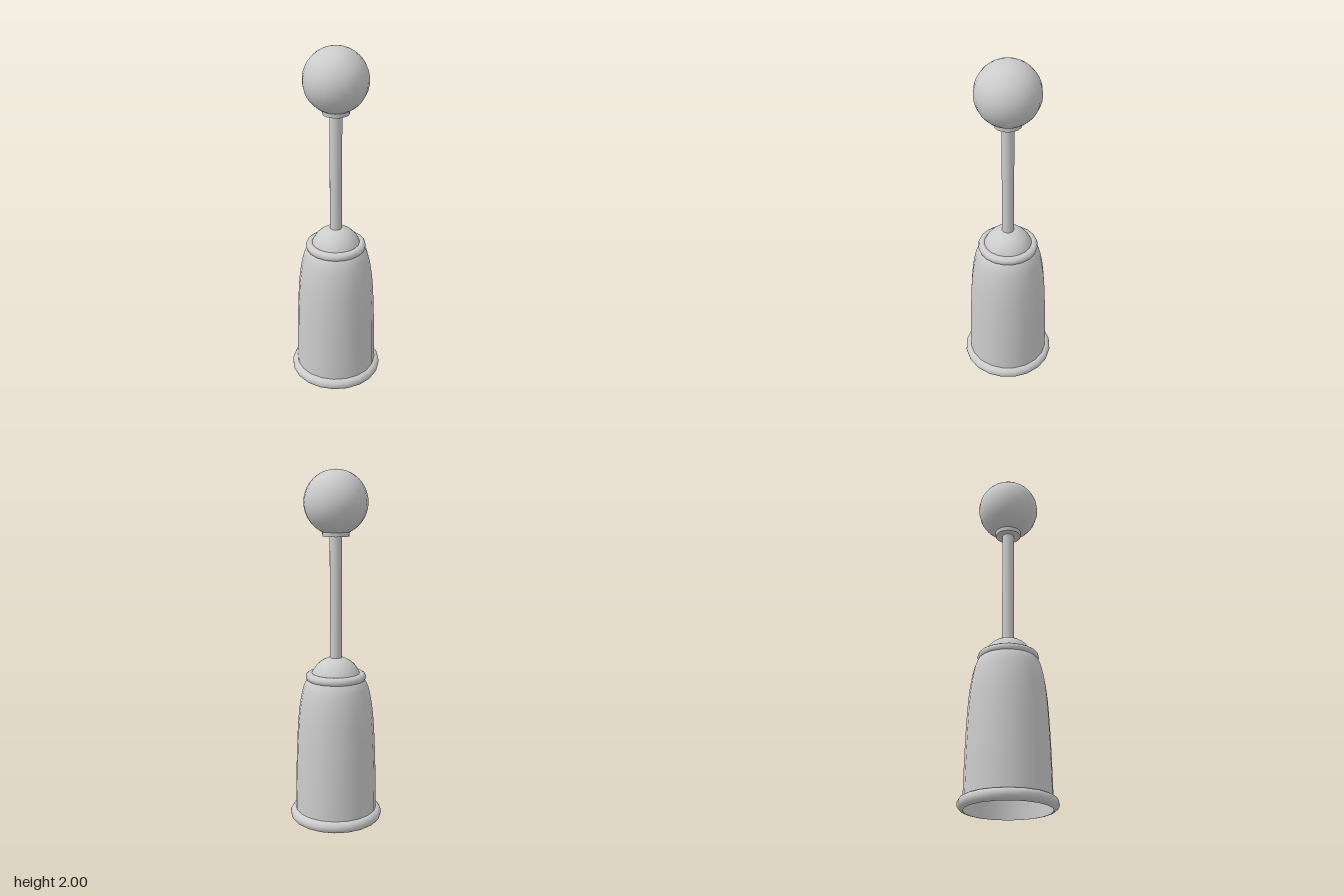
import * as THREE from 'three';

const SIDES = 20;
const material = new THREE.MeshStandardMaterial({ color: 0xcccccc, side: THREE.DoubleSide });

function add(group, name, geometry, y = 0) {
  const mesh = new THREE.Mesh(geometry, material);
  mesh.name = name;
  mesh.position.y = y;
  group.add(mesh);
  return mesh;
}

// Turned part from [radius, height] pairs, listed bottom to top
function turned(points) {
  return new THREE.LatheGeometry(points.map(([r, y]) => new THREE.Vector2(r, y)), SIDES);
}

// Half-round outer bead from bottom to top
function bead(radius, y, depth, halfHeight, steps = 8) {
  return Array.from({ length: steps + 1 }, (_, i) => {
    const a = -Math.PI / 2 + (i / steps) * Math.PI;
    return [radius + depth * Math.cos(a), y + halfHeight * Math.sin(a)];
  });
}

export function createModel() {
  const model = new THREE.Group();
  model.name = 'plunger';

  // Hollow cup, open at the bottom, with a rounded rim
  const wall = new THREE.SplineCurve([
    [0.235, 0.06], [0.232, 0.22], [0.226, 0.42], [0.216, 0.6],
    [0.201, 0.72], [0.182, 0.8], [0.16, 0.84],
  ].map(([r, y]) => new THREE.Vector2(r, y)));
  add(model, 'cup', new THREE.LatheGeometry(wall.getPoints(16), SIDES));
  add(model, 'rim', turned(bead(0.235, 0.0325, 0.031, 0.0325)));
  add(model, 'rimInside', turned([[0.235, 0], [0.235, 0.065]]));

  // Bead around the shoulder
  const shoulder = new THREE.TorusGeometry(0.147, 0.025, 10, SIDES);
  shoulder.rotateX(Math.PI / 2);
  add(model, 'shoulderRing', shoulder, 0.85);

  // Dome closing the cup
  const dome = Array.from({ length: 9 }, (_, i) => {
    const a = 0.2 + (i / 8) * (Math.PI / 2 - 0.2);
    return [Math.max(0, 0.146 * Math.cos(a)), 0.819 + 0.146 * Math.sin(a)];
  });
  add(model, 'dome', turned(dome));

  // Handle with its collar and ball grip
  add(model, 'handle', new THREE.CylinderGeometry(0.034, 0.034, 0.74, SIDES), 1.31);
  add(model, 'gripCollar', new THREE.CylinderGeometry(0.077, 0.074, 0.03, SIDES), 1.655);
  add(model, 'ballGrip', new THREE.SphereGeometry(0.177, SIDES, 20), 1.823);

  return model;
}
